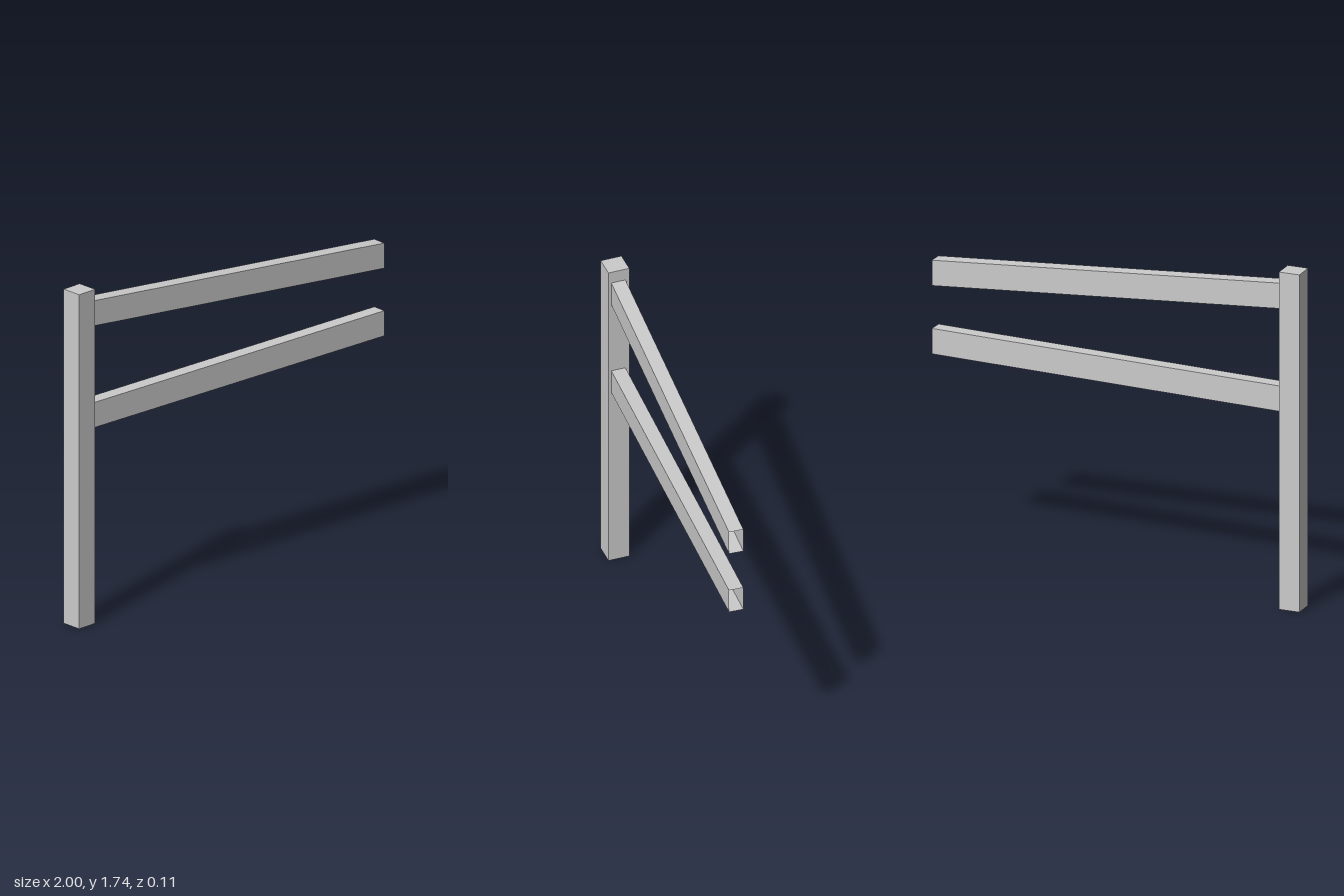
import * as THREE from 'three';

const material = new THREE.MeshStandardMaterial({ color: 0xcccccc, flatShading: true, side: THREE.DoubleSide });

// Box without the listed faces (0 +x, 1 -x, 2 +y, 3 -y, 4 +z, 5 -z)
function openBox(w, h, d, openFaces) {
  const geo = new THREE.BoxGeometry(w, h, d);
  const index = Array.from(geo.index.array);
  geo.setIndex(index.filter((_, i) => !openFaces.includes(Math.floor(i / 6))));
  geo.clearGroups();
  return geo;
}

// Hollow rail with upright ends, running from the post at height y0 to the free end at y1
function makeRail(name, y0, y1) {
  const x0 = -0.89, x1 = 1, height = 0.131, depth = 0.073;
  const geo = openBox(x1 - x0, height, depth, [0, 1]);
  geo.translate((x0 + x1) / 2, 0, 0);
  const pos = geo.attributes.position;
  for (let i = 0; i < pos.count; i++) {
    const t = (pos.getX(i) - x0) / (x1 - x0);
    pos.setY(i, pos.getY(i) + THREE.MathUtils.lerp(y0, y1, t));
  }
  geo.computeVertexNormals();
  const rail = new THREE.Mesh(geo, material);
  rail.name = name;
  return rail;
}

export function createModel() {
  const model = new THREE.Group();
  model.name = 'railing';

  // Square post, open underneath and turned slightly about its axis
  const post = new THREE.Mesh(openBox(0.108, 1.74, 0.108, [3]), material);
  post.name = 'post';
  post.position.set(-0.943, 0.87, 0);
  post.rotation.y = 0.05;
  model.add(post);

  // Sloping upper rail and level lower rail
  model.add(makeRail('upperRail', 1.61, 1.433));
  model.add(makeRail('lowerRail', 1.079, 1.081));

  return model;
}
